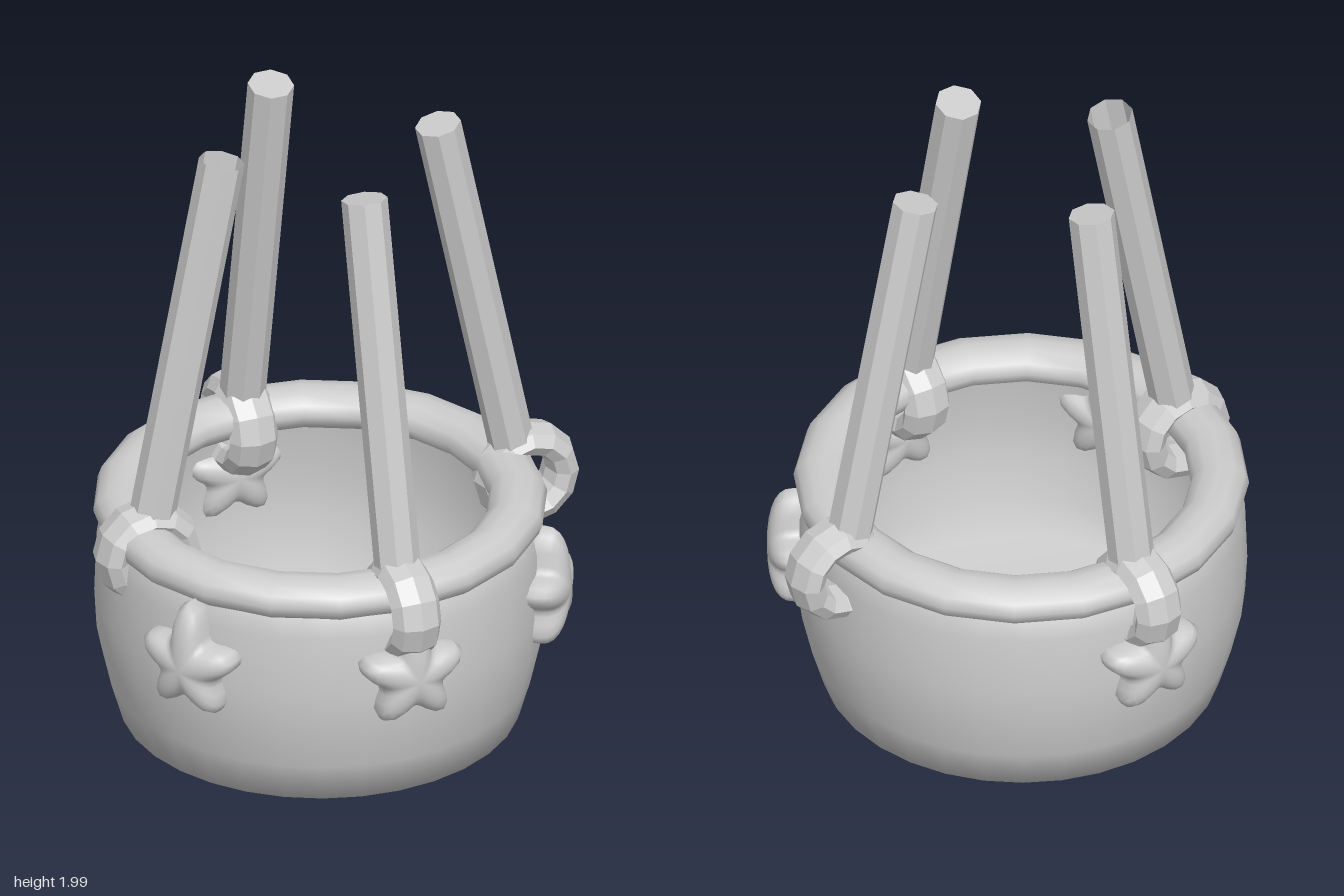
import * as THREE from 'three';
import { mergeVertices } from 'three/addons/utils/BufferGeometryUtils.js';

const CX = -0.055; // basket axis

function flat(geometry) {
  const g = geometry.toNonIndexed();
  g.computeVertexNormals();
  return g;
}

function smooth(geometry) {
  geometry.deleteAttribute('uv');
  geometry.deleteAttribute('normal');
  const g = mergeVertices(geometry, 1e-4);
  g.computeVertexNormals();
  return g;
}

// Puffy five-armed star facing +z, with a longer top arm
function starGeometry() {
  const g = new THREE.SphereGeometry(1, 40, 14);
  g.rotateX(Math.PI / 2);
  const p = g.attributes.position;
  for (let i = 0; i < p.count; i++) {
    const x = p.getX(i), y = p.getY(i), z = p.getZ(i);
    const a = Math.atan2(x, y);
    const arm = Math.abs(a) < Math.PI / 5 ? 0.22 : 0.175;
    const wave = (1 + Math.cos(5 * a)) / 2;
    const r = 0.105 + (arm - 0.105) * Math.pow(wave, 1.2);
    const d = Math.min(1, Math.hypot(x, y));
    const spread = Math.pow(d, 0.85);
    const k = Math.hypot(x, y) > 1e-6 ? r * spread / d : 0;
    p.setXYZ(i, x * k, y * k, Math.sign(z) * Math.pow(Math.abs(z), 0.75) * 0.085);
  }
  return smooth(g);
}

export function createModel() {
  const model = new THREE.Group();
  const grey = new THREE.MeshStandardMaterial({ color: 0xcccccc, side: THREE.DoubleSide });
  grey.name = 'light grey';

  function add(name, geometry, x = 0, y = 0, z = 0) {
    const mesh = new THREE.Mesh(geometry, grey);
    mesh.name = name;
    mesh.position.set(x, y, z);
    model.add(mesh);
    return mesh;
  }

  // Thin-walled basket: outside going up, then inside going down
  const profile = [
    [0, 0], [0.62, 0], [0.658, 0.13], [0.69, 0.27], [0.697, 0.4], [0.69, 0.6], [0.66, 0.7],
    [0.63, 0.7], [0.665, 0.6], [0.677, 0.4], [0.67, 0.27], [0.638, 0.13], [0.6, 0.02], [0, 0.02],
  ].map(([r, y]) => new THREE.Vector2(r, y));
  add('basket', new THREE.LatheGeometry(profile, 32), CX);

  // Padded rim, wider than tall
  const rim = [];
  for (let i = 0; i <= 12; i++) {
    const a = (i / 12) * Math.PI * 2;
    rim.push(new THREE.Vector2(0.613 + 0.09 * Math.cos(a), 0.708 + 0.068 * Math.sin(a)));
  }
  add('rim', smooth(new THREE.LatheGeometry(rim, 20)), CX);

  // Rings through the rim
  const ringGeometry = new THREE.TorusGeometry(0.12, 0.052, 8, 12);
  ringGeometry.scale(1, 1, 1.55);
  const ring = flat(ringGeometry);
  for (const [name, x, z] of [
    ['leftRing', 0.633, 0], ['rightRing', -0.637, 0], ['frontRing', CX, 0.637], ['backRing', CX, -0.637],
  ]) {
    add(name, ring, x, 0.66, z).rotation.y = z ? Math.PI / 2 : 0;
  }

  // Leaning eight-sided poles; the right one is an open tube
  const poles = [
    ['leftPole', [0.593, 0.74, 0], [0.34, 1.95, 0], false],
    ['rightPole', [-0.627, 0.74, 0], [-0.385, 1.98, 0], true],
    ['frontPole', [CX, 0.74, 0.613], [CX, 1.95, 0.345], false],
    ['backPole', [CX, 0.74, -0.613], [CX, 1.98, -0.385], false],
  ];
  for (const [name, from, to, open] of poles) {
    const a = new THREE.Vector3(...from), b = new THREE.Vector3(...to);
    const axis = b.clone().sub(a);
    const g = new THREE.CylinderGeometry(0.072, 0.072, axis.length(), 8, 1, open);
    g.rotateY(Math.PI / 8);
    const pole = add(name, flat(g));
    pole.position.copy(a).add(b).multiplyScalar(0.5);
    pole.quaternion.setFromUnitVectors(new THREE.Vector3(0, 1, 0), axis.normalize());
  }

  // Stars around the wall
  const star = starGeometry();
  const side = 1.0;
  for (const [name, angle] of [
    ['frontStar', 0], ['backStar', Math.PI], ['frontLeftStar', side], ['frontRightStar', -side],
  ]) {
    const r = 0.7;
    add(name, star, CX + r * Math.sin(angle), 0.463, r * Math.cos(angle)).rotation.y = angle;
  }

  return model;
}
